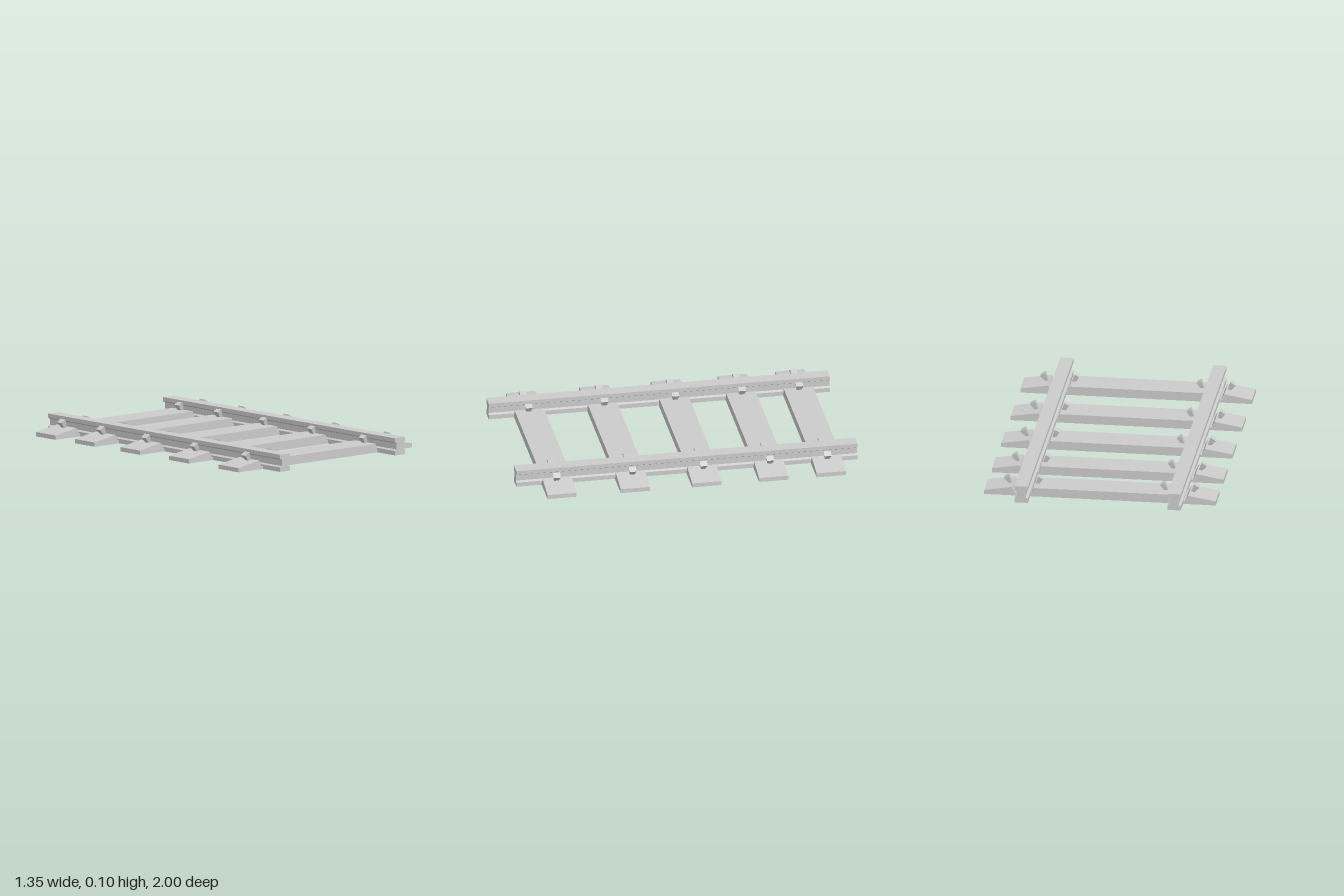
import * as THREE from 'three';

const material = new THREE.MeshStandardMaterial({ color: 0xcccccc, flatShading: true });
const RAIL_X = 0.445;

// Extrude a half profile (mirrored across x = 0) along z, centred on z = 0
function extrudeMirrored(half, depth) {
  const pts = half.map(([x, y]) => new THREE.Vector2(x, y));
  const mirrored = half.map(([x, y]) => new THREE.Vector2(-x, y)).reverse();
  const geo = new THREE.ExtrudeGeometry(new THREE.Shape([...pts, ...mirrored]), { depth, bevelEnabled: false });
  return geo.translate(0, 0, -depth / 2);
}

// Leaning spike: a box tapered towards its foot, leaning to +x
function spikeGeometry(top, foot) {
  const geo = new THREE.BoxGeometry(1, 1, 1);
  const p = geo.attributes.position;
  for (let i = 0; i < p.count; i++) {
    const isTop = p.getY(i) > 0;
    const [x, y] = (isTop ? top : foot)[p.getX(i) > 0 ? 1 : 0];
    p.setXYZ(i, x, y, Math.sign(p.getZ(i)) * (isTop ? 0.021 : 0.013));
  }
  geo.computeVertexNormals();
  return geo;
}

export function createModel() {
  const group = new THREE.Group();
  const add = (name, geo, x, z, turn = 0) => {
    const mesh = new THREE.Mesh(geo, material);
    mesh.name = name;
    mesh.position.set(x, 0, z);
    mesh.rotation.y = turn;
    group.add(mesh);
  };

  // Rails: I-shaped section with equal head and foot
  const rail = extrudeMirrored([
    [0.039, 0], [0.039, 0.026], [0.025, 0.033], [0.025, 0.068], [0.039, 0.076], [0.039, 0.1],
  ], 2);
  add('leftRail', rail, RAIL_X, 0);
  add('rightRail', rail, -RAIL_X, 0);

  // Sleepers: sloping ends and a notch under each rail
  const sleeper = extrudeMirrored([
    [0.673, 0], [0.673, 0.025], [0.512, 0.052], [0.495, 0.017],
    [0.403, 0.017], [0.389, 0.052],
  ], 0.171);

  // Spikes, measured from the rail centre
  const outerSpike = spikeGeometry([[0.094, 0.097], [0.124, 0.078]], [[0.074, 0.046], [0.095, 0.046]]);
  const innerSpike = spikeGeometry([[0.077, 0.097], [0.104, 0.083]], [[0.059, 0.046], [0.08, 0.046]]);

  const sleeperZ = [-0.811, -0.474, -0.082, 0.337, 0.766];
  const spikeZ = [-0.811, -0.475, -0.085, 0.331, 0.775];
  sleeperZ.forEach((z, i) => {
    add('sleeper', sleeper, 0, z);
    for (const side of [1, -1]) {
      const outward = side > 0 ? 0 : Math.PI;
      add('outerSpike', outerSpike, side * RAIL_X, spikeZ[i], outward);
      add('innerSpike', innerSpike, side * RAIL_X, spikeZ[i], Math.PI - outward);
    }
  });

  return group;
}
